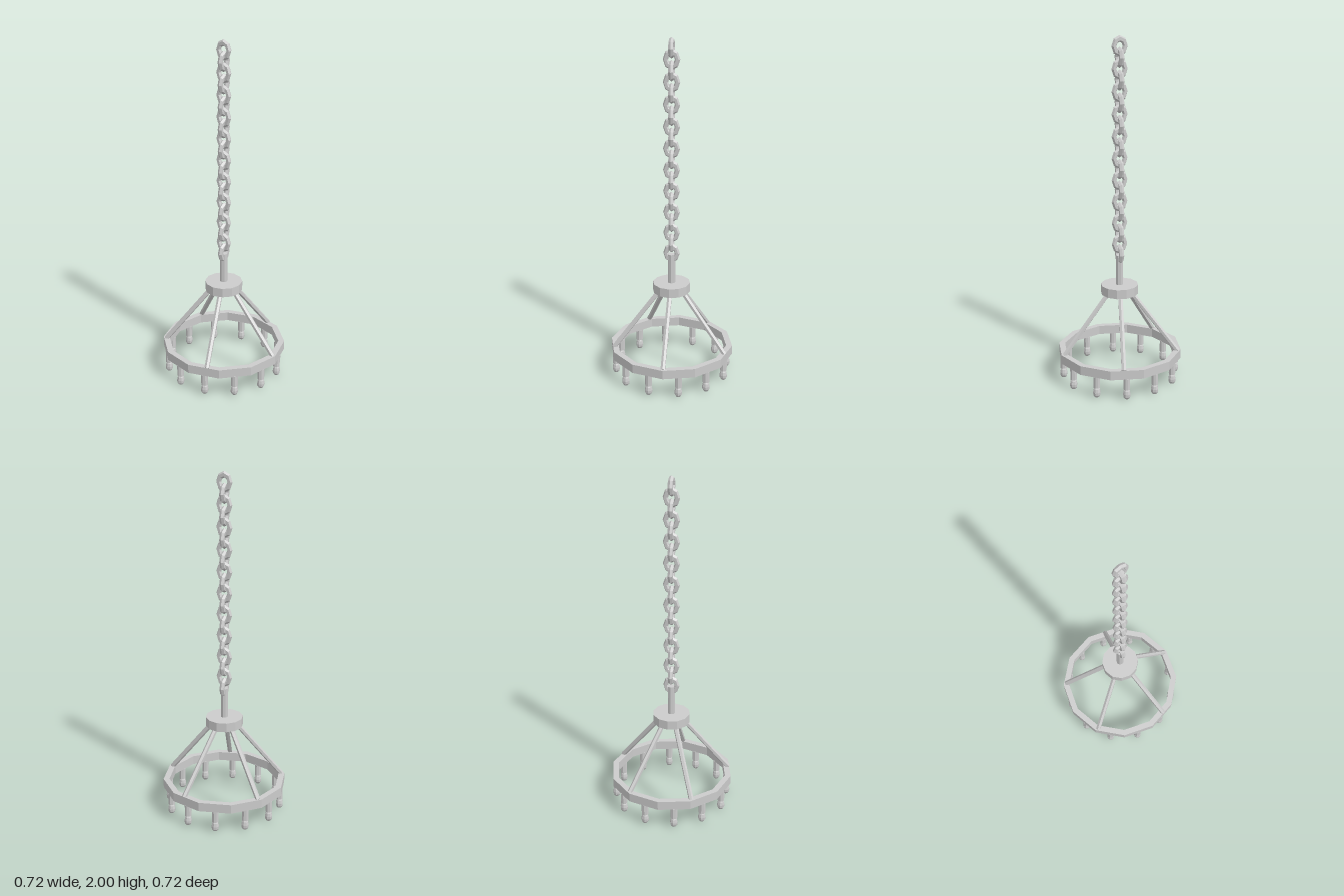
import * as THREE from 'three';

const material = new THREE.MeshStandardMaterial({ color: 0xcccccc, flatShading: true });

function add(parent, name, geometry) {
  const mesh = new THREE.Mesh(geometry, material);
  mesh.name = name;
  parent.add(mesh);
  return mesh;
}

// Polygonal rod between two points
function rod(parent, name, from, to, radius, sides) {
  const dir = to.clone().sub(from);
  const mesh = add(parent, name, new THREE.CylinderGeometry(radius, radius, dir.length(), sides));
  mesh.position.copy(from).add(to).multiplyScalar(0.5);
  mesh.quaternion.setFromUnitVectors(new THREE.Vector3(0, 1, 0), dir.normalize());
  return mesh;
}

function polygonPoints(radius, sides) {
  return Array.from({ length: sides }, (_, i) => {
    const a = (i / sides) * Math.PI * 2;
    return new THREE.Vector2(Math.cos(a) * radius, Math.sin(a) * radius);
  });
}

export function createModel() {
  const model = new THREE.Group();
  model.name = 'chandelier';

  // Twelve-sided flat ring
  const outline = new THREE.Shape(polygonPoints(0.36, 12));
  outline.holes.push(new THREE.Path(polygonPoints(0.325, 12)));
  const ringGeometry = new THREE.ExtrudeGeometry(outline, { depth: 0.053, bevelEnabled: false });
  ringGeometry.rotateX(-Math.PI / 2);
  add(model, 'ring', ringGeometry).position.y = 0.128;

  // Hub disc and stem
  add(model, 'hub', new THREE.CylinderGeometry(0.108, 0.108, 0.054, 12)).position.y = 0.542;
  add(model, 'stem', new THREE.CylinderGeometry(0.022, 0.022, 0.18, 8)).position.y = 0.655;

  // Five slanting arms from hub to ring
  for (const degrees of [0, 72, 148, -148, -72]) {
    const arm = new THREE.Group();
    arm.name = 'arm';
    arm.rotation.y = THREE.MathUtils.degToRad(degrees);
    rod(arm, 'armRod', new THREE.Vector3(0.062, 0.53, 0),
      new THREE.Vector3(0.342, 0.178, 0), 0.0145, 6).rotateY(Math.PI / 6);
    model.add(arm);
  }

  // Lamps hanging under the middle of each ring side
  const socketGeometry = new THREE.CylinderGeometry(0.02, 0.02, 0.068, 8);
  const bulbProfile = [[0, 0], [0.013, 0.004], [0.021, 0.017], [0.022, 0.033], [0.018, 0.052], [0.012, 0.064], [0, 0.064]];
  const bulbGeometry = new THREE.LatheGeometry(bulbProfile.map(([r, y]) => new THREE.Vector2(r, y)), 8);
  for (let i = 0; i < 12; i++) {
    const a = ((i + 0.5) / 12) * Math.PI * 2;
    const lamp = new THREE.Group();
    lamp.name = 'lamp';
    lamp.position.set(Math.cos(a) * 0.33, 0, Math.sin(a) * 0.33);
    add(lamp, 'socket', socketGeometry).position.y = 0.096;
    add(lamp, 'bulb', bulbGeometry);
    model.add(lamp);
  }

  // Chain of oval links, each turned a quarter from the last
  const linkGeometry = new THREE.TorusGeometry(0.033, 0.015, 6, 8);
  linkGeometry.scale(1, 1.23, 1);
  const chain = new THREE.Group();
  chain.name = 'chain';
  for (let i = 0; i < 20; i++) {
    const link = add(chain, 'chainLink', linkGeometry);
    link.position.y = 1.941 - i * 0.0626;
    link.rotation.y = (i % 2) * Math.PI / 2;
  }
  model.add(chain);

  return model;
}
